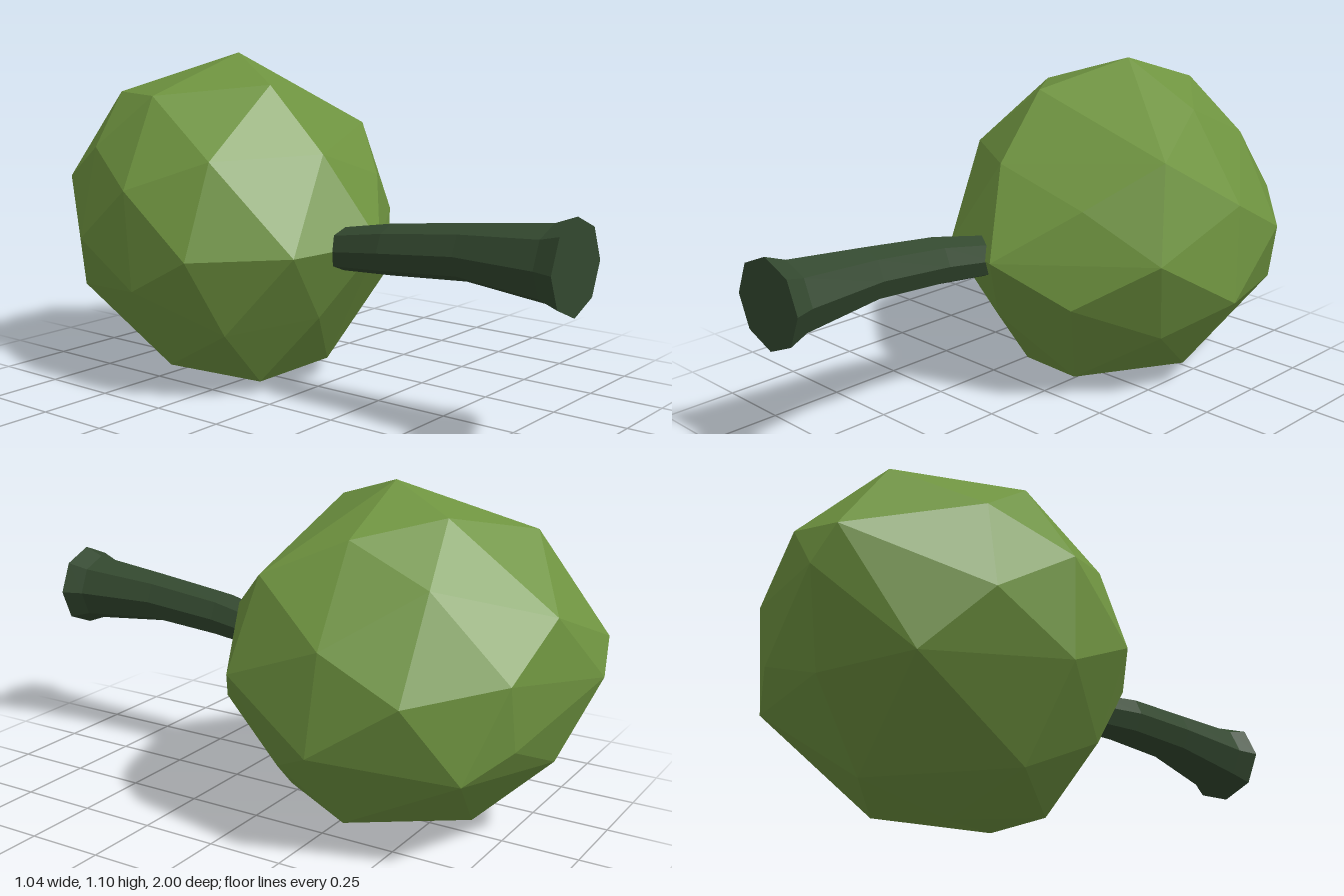
import * as THREE from 'three';
import { ConvexGeometry } from 'three/addons/geometries/ConvexGeometry.js';

const material = (color) => new THREE.MeshStandardMaterial({ color, flatShading: true, roughness: 0.9 });

// Faceted crown: the convex skin around its corner points
function makeCrown() {
  const upper = [
    [0.03, 1.1, -0.37], [0.31, 0.965, -0.37], [0.4, 0.85, -0.12], [-0.12, 1.01, -0.1],
    [-0.36, 0.975, -0.39], [-0.15, 0.96, -0.76], [0.12, 1.02, -0.59], [0.31, 0.85, -0.63],
    [-0.41, 0.79, -0.1], [-0.1, 0.8, 0.1], [0.23, 0.7, 0.07], [-0.41, 0.8, -0.61],
  ];
  const middle = [
    [0.5, 0.68, -0.38], [0.46, 0.545, -0.04], [0.48, 0.55, -0.63], [0, 0.52, 0.25],
    [-0.3, 0.5, 0.145], [-0.515, 0.49, -0.11], [-0.525, 0.69, -0.36], [-0.47, 0.5, -0.63],
    [-0.12, 0.545, -1], [-0.2, 0.65, -0.98], [0.07, 0.76, -0.92], [0.27, 0.6, -0.87],
  ];
  const lower = [
    [0.52, 0.36, -0.35], [0.23, 0.385, 0.12], [-0.12, 0.275, 0.1], [0.1, 0.07, -0.04],
    [-0.18, 0.04, -0.1], [-0.03, 0, -0.36], [0.31, 0.085, -0.36], [0.37, 0.25, -0.16],
    [-0.51, 0.365, -0.35], [-0.37, 0.235, -0.08], [-0.33, 0.085, -0.36], [0.36, 0.31, -0.77],
    [0.22, 0.39, -0.87], [-0.04, 0.28, -0.89], [0.03, 0.06, -0.66], [-0.32, 0.3, -0.78],
  ];
  const points = [...upper, ...middle, ...lower].map((p) => new THREE.Vector3(...p));
  const crown = new THREE.Mesh(new ConvexGeometry(points), material(0x6f9440));
  crown.name = 'crown';
  return crown;
}

// Eight-sided trunk, flared at the foot and bending slightly into the crown
function makeTrunk() {
  // centre x, centre y, z, radius
  const stations = [
    [-0.07, 0.49, 0, 0.065],
    [-0.1, 0.51, 0.2, 0.07],
    [-0.12, 0.533, 0.38, 0.08],
    [-0.118, 0.558, 0.65, 0.087],
    [-0.118, 0.558, 0.93, 0.117],
    [-0.118, 0.558, 1, 0.143],
  ];
  const rows = stations.length - 1;
  const geometry = new THREE.CylinderGeometry(1, 1, rows, 8, rows);
  const pos = geometry.attributes.position;
  for (let i = 0; i < pos.count; i++) {
    const [cx, cy, z, r] = stations[Math.round(pos.getY(i) + rows / 2)];
    pos.setXYZ(i, cx + pos.getX(i) * r, cy - pos.getZ(i) * r, z);
  }
  geometry.computeVertexNormals();
  const trunk = new THREE.Mesh(geometry, material(0x33482f));
  trunk.name = 'trunk';
  return trunk;
}

export function createModel() {
  const tree = new THREE.Group();
  tree.name = 'tree';
  tree.add(makeCrown(), makeTrunk());
  return tree;
}
